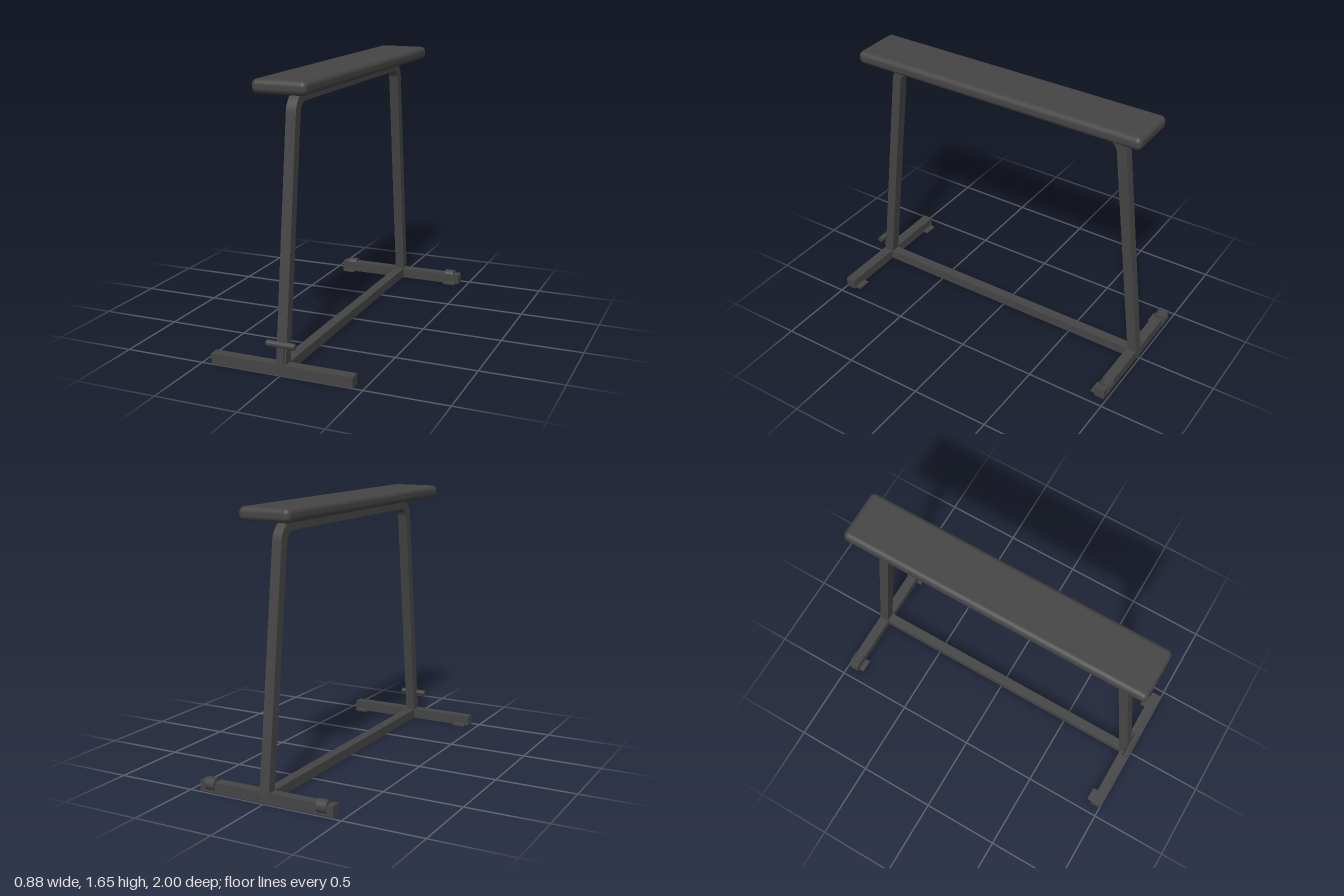
import * as THREE from 'three';
import { toCreasedNormals } from 'three/addons/utils/BufferGeometryUtils.js';
import { RoundedBoxGeometry } from 'three/addons/geometries/RoundedBoxGeometry.js';

export function createModel() {
  const model = new THREE.Group();
  model.name = 'bench';
  const charcoal = new THREE.MeshStandardMaterial({ color: 0x454545 });
  charcoal.name = 'charcoal';

  const add = (name, geometry, x, y, z) => {
    const mesh = new THREE.Mesh(geometry, charcoal);
    mesh.name = name;
    mesh.position.set(x, y, z);
    model.add(mesh);
    return mesh;
  };
  const box = (name, w, h, d, x, y, z) => add(name, new THREE.BoxGeometry(w, h, d), x, y, z);
  const rod = (name, r, length, x, y, z) =>
    add(name, new THREE.CylinderGeometry(r, r, length, 24).rotateZ(Math.PI / 2), x, y, z);

  // Padded top
  add('seat', new RoundedBoxGeometry(0.326, 0.08, 1.936, 4, 0.032), 0, 1.615, 0.008);

  // Bent square tube: two sloping legs joined by a top rail
  const half = 0.0305, topY = 1.542, cornerZ = 0.779, footZ = 0.959, footY = 0.04, radius = 0.1;
  const lean = Math.atan2(footZ - cornerZ, topY - footY);
  const turn = Math.PI / 2 - lean;
  const bendZ = cornerZ - radius * Math.tan(turn / 2);
  const side = (offset) => {
    const points = [[footZ + offset * Math.cos(lean), footY + offset * Math.sin(lean)]];
    for (let i = 0; i <= 12; i++) {
      const a = lean + (turn * i) / 12;
      points.push([bendZ + (radius + offset) * Math.cos(a), topY - radius + (radius + offset) * Math.sin(a)]);
    }
    const mirrored = points.map(([z, y]) => [-z, y]).reverse();
    return [...points, ...mirrored].map(([z, y]) => new THREE.Vector2(z, y));
  };
  const outline = new THREE.Shape([...side(half), ...side(-half).reverse()]);
  const tube = new THREE.ExtrudeGeometry(outline, { depth: 2 * half, bevelEnabled: false });
  tube.translate(0, 0, -half).rotateY(-Math.PI / 2);
  add('bentFrame', toCreasedNormals(tube, 0.5), 0, 0, 0);

  // Floor rail and crossbars
  box('floorRail', 0.062, 0.06, 1.9, 0, 0.035, 0);
  box('frontCrossbar', 0.88, 0.065, 0.065, 0, 0.0325, 0.967);
  box('rearCrossbar', 0.88, 0.065, 0.065, 0, 0.0325, -0.953);

  // Foot plates and transport wheels at both ends of the crossbars
  for (const s of [-1, 1]) {
    box('frontFootPlate', 0.085, 0.012, 0.07, s * 0.3825, 0.006, 0.935);
    box('rearFootPlate', 0.085, 0.012, 0.07, s * 0.3825, 0.006, -0.922);
    rod('wheel', 0.04, 0.062, s * 0.37, 0.046, -0.96);
  }

  // T-shaped lifting handle on the front leg
  box('handleStem', 0.042, 0.12, 0.03, 0, 0.118, 0.98);
  rod('handleGrip', 0.0185, 0.174, 0, 0.178, 0.981);

  return model;
}
